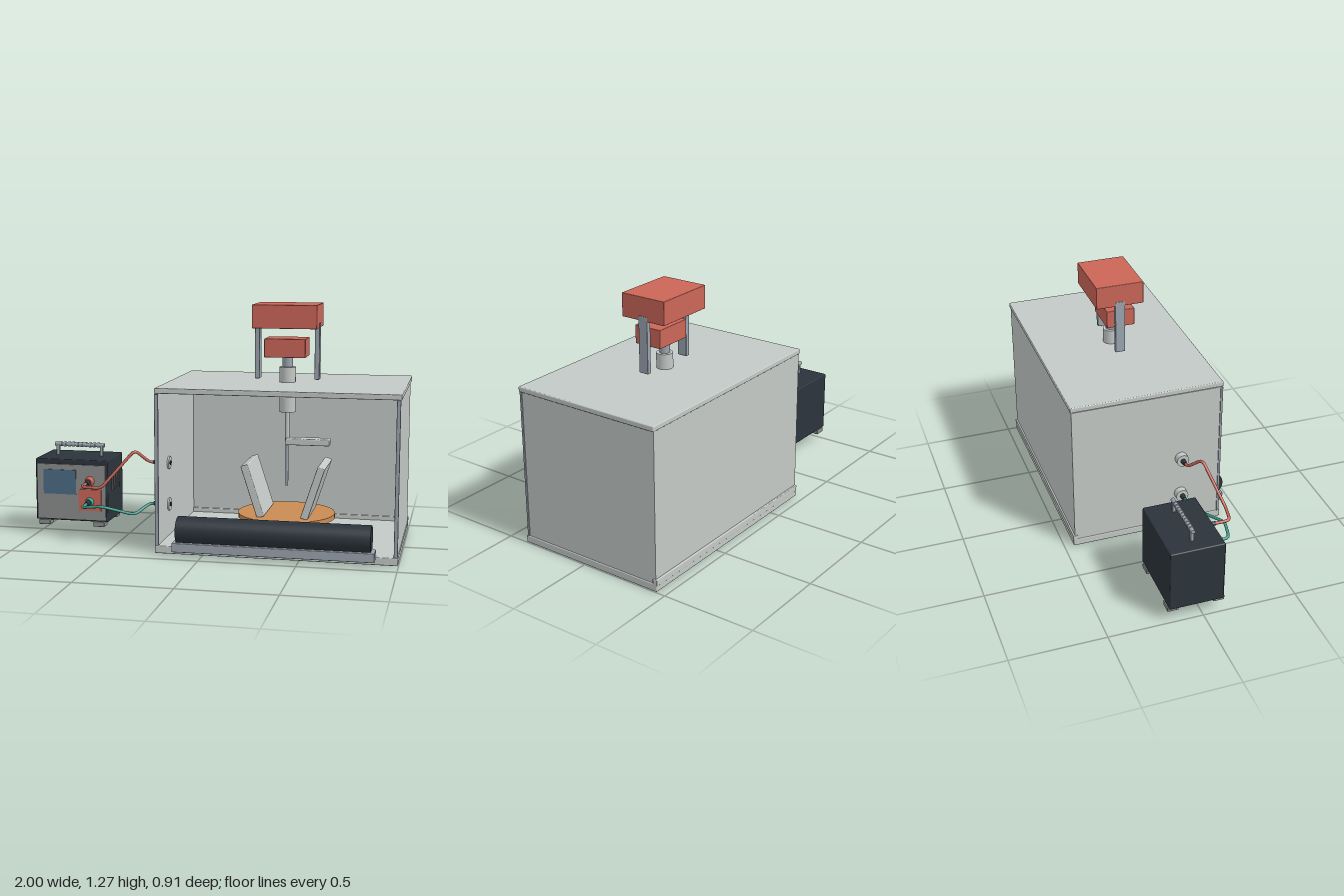
import * as THREE from 'three';
import { RoundedBoxGeometry } from 'three/addons/geometries/RoundedBoxGeometry.js';

export function createModel() {
  const root = new THREE.Group();
  root.name = 'mixingChamber';
  const mat = (name, color) => {
    const m = new THREE.MeshStandardMaterial({ color });
    m.name = name;
    return m;
  };
  const shell = mat('shellGrey', 0xc3c9c6);
  const steel = mat('blueSteel', 0x9ba4ae);
  const dark = mat('darkSlate', 0x2b333b);
  const red = mat('coralRed', 0xcb6658);
  const grey = mat('panelGrey', 0x8b8c8c);
  const glass = mat('screenBlue', 0x4c6b84);
  const teal = mat('tealGreen', 0x3f9f8f);
  const wood = mat('turntableOrange', 0xc88c54);

  const group = (name) => {
    const g = new THREE.Group();
    g.name = name;
    root.add(g);
    return g;
  };
  const add = (parent, name, geo, material, x, y, z) => {
    const m = new THREE.Mesh(geo, material);
    m.name = name;
    m.position.set(x, y, z);
    parent.add(m);
    return m;
  };
  // Box given by its limits on each axis, optionally with softened edges
  const box = (p, name, material, [x0, x1], [y0, y1], [z0, z1], r = 0) => {
    const s = [x1 - x0, y1 - y0, z1 - z0];
    const geo = r ? new RoundedBoxGeometry(...s, 2, r) : new THREE.BoxGeometry(...s);
    return add(p, name, geo, material, (x0 + x1) / 2, (y0 + y1) / 2, (z0 + z1) / 2);
  };
  // Cylinder centred at a point; axis is 'x', 'y' or 'z'
  const rod = (p, name, material, axis, r0, r1, len, x, y, z, seg = 32) => {
    const geo = new THREE.CylinderGeometry(r1, r0, len, seg);
    if (axis === 'x') geo.rotateZ(-Math.PI / 2);
    if (axis === 'z') geo.rotateX(Math.PI / 2);
    return add(p, name, geo, material, x, y, z);
  };

  // Open-fronted cabinet
  const cab = group('cabinet');
  box(cab, 'base', shell, [-0.253, 0.997], [0, 0.04], [-0.45, 0.39], 0.005);
  box(cab, 'rearSill', shell, [-0.253, 0.997], [0.03, 0.065], [-0.452, -0.425], 0.004);
  box(cab, 'roof', shell, [-0.253, 1], [0.832, 0.86], [-0.447, 0.385], 0.005);
  box(cab, 'backWall', shell, [-0.248, 0.99], [0.04, 0.832], [-0.442, -0.428]);
  for (const [x0, x1] of [[-0.25, -0.236], [0.978, 0.992]]) {
    box(cab, 'sideWall', shell, [x0, x1], [0.04, 0.83], [-0.442, 0.372]);
    box(cab, 'frontEdgeStrip', steel, [x0 - 0.003, x1 + 0.003], [0.037, 0.83], [0.37, 0.384], 0.003);
  }

  // Rolled cover and its tray at the opening
  const cover = group('rolledCover');
  rod(cover, 'roll', dark, 'x', 0.072, 0.072, 0.995, 0.367, 0.128, 0.383, 40);
  box(cover, 'tray', steel, [-0.15, 0.885], [0.025, 0.073], [0.36, 0.45], 0.004);

  // Turntable with two outward-leaning paddles
  const CX = 0.37, CZ = -0.03;
  const table = group('turntable');
  rod(table, 'hub', steel, 'y', 0.06, 0.06, 0.1, CX, 0.085, CZ);
  rod(table, 'disc', wood, 'y', 0.26, 0.26, 0.025, CX, 0.143, CZ, 48);
  for (const s of [-1, 1]) {
    const paddle = add(table, 'paddle', new RoundedBoxGeometry(0.04, 0.29, 0.32, 2, 0.005),
      shell, CX + s * 0.16, 0.292, CZ);
    paddle.rotation.z = -s * 0.315;
  }

  // Stirrer hanging through the roof
  const stir = group('stirrer');
  rod(stir, 'spindleHousing', shell, 'y', 0.043, 0.043, 0.24, CX, 0.82, CZ);
  rod(stir, 'neck', steel, 'y', 0.027, 0.027, 0.07, CX, 0.97, CZ);
  rod(stir, 'shaft', shell, 'y', 0.012, 0.012, 0.16, CX, 0.625, CZ, 20);
  rod(stir, 'probe', steel, 'y', 0.008, 0.008, 0.26, CX, 0.43, CZ, 16);
  box(stir, 'arm', shell, [0.365, 0.6], [0.525, 0.56], [CZ - 0.035, CZ + 0.035], 0.006);
  box(stir, 'motor', red, [0.26, 0.477], [0.997, 1.095], [-0.085, 0.07], 0.003);
  box(stir, 'driveHead', red, [0.2, 0.54], [1.15, 1.273], [-0.16, 0.1], 0.003);
  for (const s of [-1, 1])
    box(stir, 'supportPost', steel, [CX + s * 0.159 - 0.013, CX + s * 0.159 + 0.013],
      [0.877, 1.175], [-0.057, -0.003], 0.003);

  // Control unit
  const unit = group('controlUnit');
  box(unit, 'housing', dark, [-1, -0.59], [0.08, 0.42], [-0.18, 0.106], 0.006);
  box(unit, 'frontPanel', grey, [-0.988, -0.602], [0.09, 0.392], [0.104, 0.111]);
  box(unit, 'screen', glass, [-0.953, -0.768], [0.228, 0.363], [0.11, 0.115]);
  box(unit, 'socketPlate', red, [-0.752, -0.625], [0.142, 0.26], [0.11, 0.118]);
  for (const x of [-0.95, -0.64]) for (const z of [-0.155, 0.088])
    box(unit, 'foot', grey, [x - 0.032, x + 0.032], [0.055, 0.083], [z - 0.03, z + 0.03], 0.004);
  for (let i = 0; i < 4; i++)
    box(unit, 'ventSlot', grey, [-0.592, -0.585], [0.24, 0.34], [-0.104 + i * 0.04, -0.096 + i * 0.04]);

  // Ribbed carrying handle
  for (const x of [-0.918, -0.667])
    box(unit, 'handlePost', steel, [x - 0.009, x + 0.009], [0.415, 0.48], [-0.05, -0.032], 0.003);
  rod(unit, 'handleBar', steel, 'x', 0.011, 0.011, 0.285, -0.793, 0.479, -0.041, 16);
  for (let i = 0; i < 10; i++)
    rod(unit, 'gripRib', steel, 'x', 0.014, 0.014, 0.012, -0.901 + i * 0.024, 0.479, -0.041, 16);

  // Sockets, wall ports and cables
  const PZ = 0.155;
  const line = (name, material, socketY, portY, midA, midB, bendZ) => {
    const g = group(name);
    rod(g, 'socketRing', material, 'z', 0.026, 0.018, 0.03, -0.69, socketY, 0.126, 24);
    rod(g, 'plug', dark, 'z', 0.014, 0.011, 0.045, -0.69, socketY, 0.158, 20);
    rod(g, 'wallPort', shell, 'x', 0.034, 0.034, 0.04, -0.266, portY, PZ);
    rod(g, 'innerFlange', shell, 'x', 0.034, 0.034, 0.01, -0.232, portY, PZ);
    rod(g, 'innerBore', dark, 'x', 0.012, 0.012, 0.004, -0.226, portY, PZ, 20);
    rod(g, 'portPlug', dark, 'x', 0.011, 0.015, 0.04, -0.298, portY, PZ, 20);
    // Straight runs joined by short rounded bends
    const pts = [[-0.69, socketY, 0.17], [-0.69, socketY, 0.26], [-0.575, midA, 0.282],
      [-0.405, midB, bendZ], [-0.34, portY, 0.16], [-0.3, portY, PZ]]
      .map((p) => new THREE.Vector3(...p));
    const path = new THREE.CurvePath();
    let from = pts[0];
    for (let i = 1; i < pts.length - 1; i++) {
      const before = pts[i].clone().lerp(pts[i - 1], Math.min(0.4, 0.03 / pts[i].distanceTo(pts[i - 1])));
      const after = pts[i].clone().lerp(pts[i + 1], Math.min(0.4, 0.03 / pts[i].distanceTo(pts[i + 1])));
      path.add(new THREE.LineCurve3(from, before));
      path.add(new THREE.QuadraticBezierCurve3(before, pts[i], after));
      from = after;
    }
    path.add(new THREE.LineCurve3(from, pts[pts.length - 1]));
    add(g, 'cable', new THREE.TubeGeometry(path, 90, 0.008, 10), material, 0, 0, 0);
  };
  line('upperCable', red, 0.305, 0.435, 0.305, 0.505, 0.215);
  line('lowerCable', teal, 0.192, 0.21, 0.208, 0.16, 0.23);

  return root;
}
